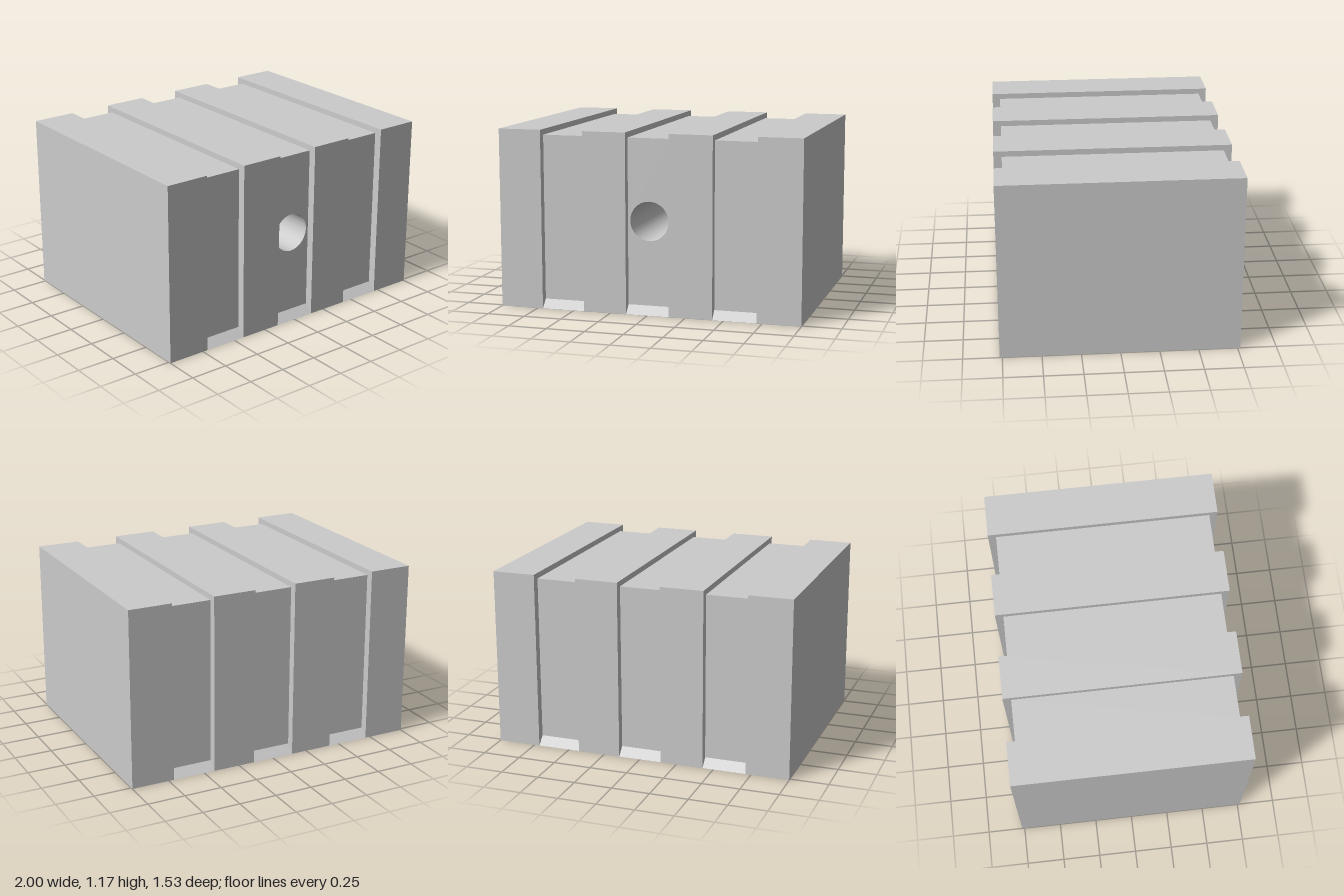
import * as THREE from 'three';
import { toCreasedNormals } from 'three/addons/utils/BufferGeometryUtils.js';

const H = 1.172, PANEL_H = 1.135;   // rib and panel heights
const D = 0.767, PANEL_D = 0.714;   // rib and panel half depths
const W = 2 / 7;                    // ribs and panels share one width
const HOLE_R = 0.127, HOLE_Y = 0.603, HOLE_END = -0.05;

export function createModel() {
  const model = new THREE.Group();
  const material = new THREE.MeshStandardMaterial({ color: 0xcccccc });

  const add = (name, geometry, parent = model) => {
    const mesh = new THREE.Mesh(geometry, material);
    mesh.name = name;
    parent.add(mesh);
    return mesh;
  };

  // Box spanning a z range, standing on the ground
  const block = (x, height, z0, z1) =>
    new THREE.BoxGeometry(W, height, z1 - z0).translate(x, height / 2, (z0 + z1) / 2);

  // Sloped sill filling the foot of a groove, facing +z
  const sillGeometry = () => {
    const profile = new THREE.Shape([
      new THREE.Vector2(PANEL_D, 0),
      new THREE.Vector2(D, 0),
      new THREE.Vector2(PANEL_D, 0.054),
    ]);
    return new THREE.ExtrudeGeometry(profile, { depth: W, bevelEnabled: false })
      .rotateY(-Math.PI / 2)
      .translate(W / 2, 0, 0);
  };

  // Front part of the middle panel, with the round hole
  const drilledGeometry = () => {
    const face = new THREE.Shape([
      new THREE.Vector2(-W / 2, 0),
      new THREE.Vector2(W / 2, 0),
      new THREE.Vector2(W / 2, PANEL_H),
      new THREE.Vector2(-W / 2, PANEL_H),
    ]);
    face.holes.push(new THREE.Path().absarc(0, HOLE_Y, HOLE_R, 0, Math.PI * 2, true));
    const geometry = new THREE.ExtrudeGeometry(face, {
      depth: PANEL_D - HOLE_END, bevelEnabled: false, curveSegments: 48,
    }).translate(0, 0, HOLE_END);
    return toCreasedNormals(geometry, Math.PI / 6);
  };

  // Raised ribs alternate with recessed panels across the width
  for (let i = 0; i < 7; i++) {
    const x = (i - 3) * W;
    if (i % 2 === 0) {
      add('rib', block(x, H, -D, D));
      continue;
    }
    const panel = new THREE.Group();
    panel.name = 'recessedPanel';
    model.add(panel);
    if (i === 3) {
      add('drilledPanelFront', drilledGeometry(), panel);
      add('panelBack', block(x, PANEL_H, -PANEL_D, HOLE_END), panel);
    } else {
      add('panelCore', block(x, PANEL_H, -PANEL_D, PANEL_D), panel);
    }
    add('frontSill', sillGeometry(), panel).position.x = x;
    const backSill = add('backSill', sillGeometry(), panel);
    backSill.position.x = x;
    backSill.rotation.y = Math.PI;
  }

  return model;
}
